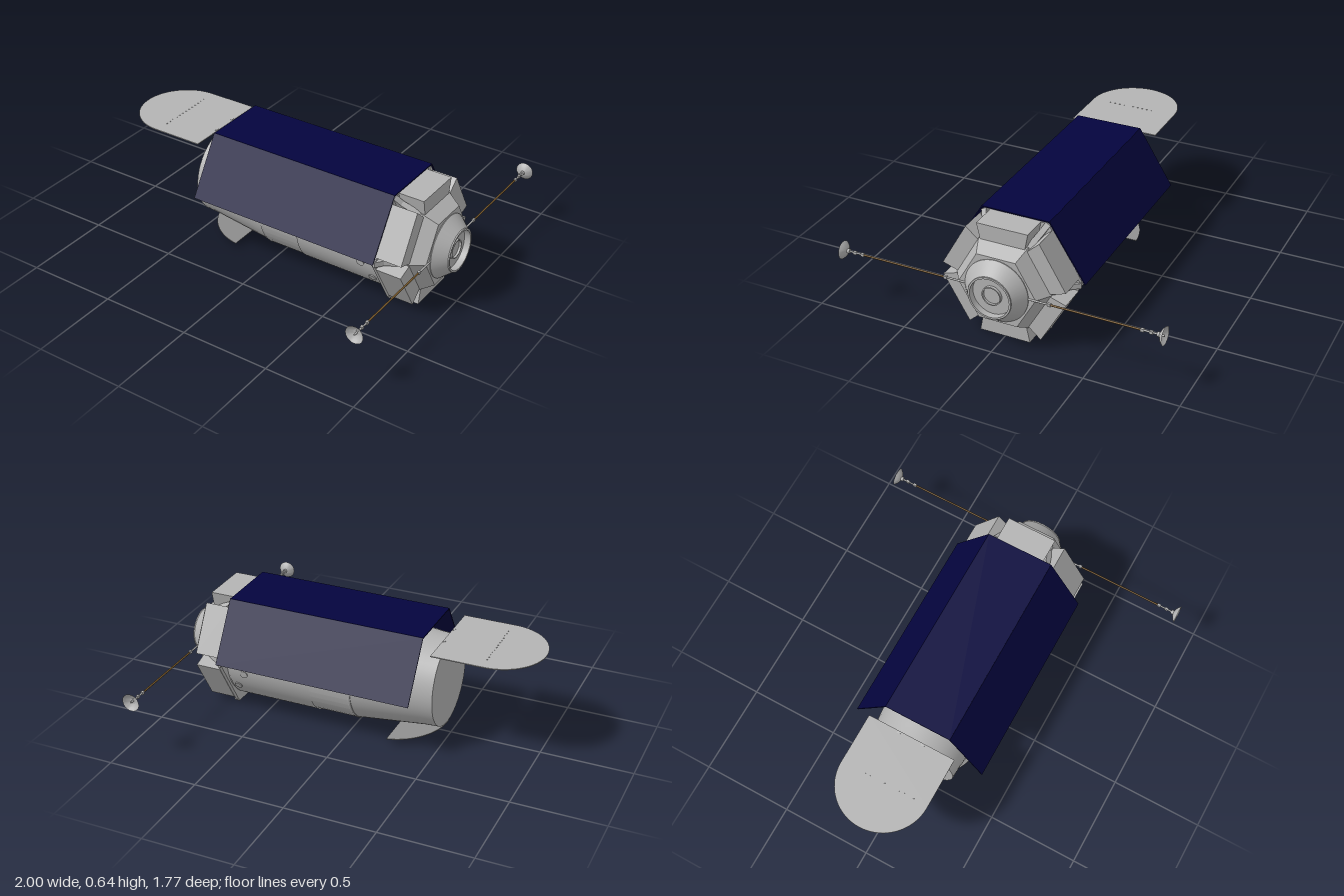
import * as THREE from 'three';
import { toCreasedNormals } from 'three/addons/utils/BufferGeometryUtils.js';

const material = (name, color, side = THREE.FrontSide) => {
  const m = new THREE.MeshStandardMaterial({ color, side });
  m.name = name;
  return m;
};
const grey = material('hullGrey', 0xb4b4b4, THREE.DoubleSide);
const darkGrey = material('coverGrey', 0x8e8e8e);
const navy = material('solarNavy', 0x04043e);
const brown = material('boomBrown', 0x7a5a2c);

const AXIS_Y = 0.315;

export function createModel() {
  const model = new THREE.Group();
  model.name = 'spaceTelescope';
  const body = new THREE.Group(); // origin lies on the long axis, which runs along x
  body.name = 'body';
  body.position.y = AXIS_Y;
  model.add(body);

  const add = (name, geo, mat = grey, parent = body) => {
    const mesh = new THREE.Mesh(geo, mat);
    mesh.name = name;
    parent.add(mesh);
    return mesh;
  };
  const box = (name, size, pos, mat = grey, parent = body) => {
    const mesh = add(name, new THREE.BoxGeometry(...size), mat, parent);
    mesh.position.set(...pos);
    return mesh;
  };
  // profile given as [radius, position along axis]
  const lathe = (pts, segs = 48) => toCreasedNormals(
    new THREE.LatheGeometry(pts.map(p => new THREE.Vector2(...p)), segs), 0.4);
  const alongX = geo => geo.rotateZ(-Math.PI / 2);
  // hexagonal solid between two x positions, vertices on the z axis
  const hex = (x0, r0, x1, r1) => toCreasedNormals(alongX(
    new THREE.CylinderGeometry(r1, r0, x1 - x0, 6)).translate((x0 + x1) / 2, 0, 0), 0.3);
  const shapeOf = pts => new THREE.Shape(pts.map(p => new THREE.Vector2(...p)));

  // Tapered forward tube and straight main tube, hung slightly below the bay axis
  const tube = new THREE.Group();
  tube.name = 'tube';
  tube.position.y = -0.004;
  body.add(tube);
  add('forwardTube', alongX(lathe([[0, -0.48], [0.248, -0.48], [0.252, -0.4], [0.291, -0.03]])), grey, tube);
  add('mainTube', alongX(lathe([[0.28, -0.035], [0.294, -0.035], [0.296, -0.025], [0.294, -0.02],
    [0.294, 0.69], [0, 0.69]])), grey, tube);
  box('keelPin', [0.012, 0.012, 0.012], [0.32, -0.295, 0], grey, tube);

  // Curved access panels and round ports on both flanks
  for (const side of [1, -1]) {
    const len = 1.17;
    add('accessPanel', alongX(new THREE.CylinderGeometry(0.298, 0.298, 0.48, 24, 1, true,
      side > 0 ? 0 : Math.PI - len, len)).translate(0.44, 0, 0), grey, tube);
    for (const [x, drop] of [[0.59, 0.19], [0.645, 0.53]]) {
      add('port', toCreasedNormals(new THREE.CylinderGeometry(0.022, 0.022, 0.016, 20), 0.5)
        .translate(x, 0.295, 0).rotateX(side * (Math.PI / 2 + drop)), grey, tube);
    }
  }

  // Hexagonal equipment section
  add('bulkhead', hex(0.69, 0.357, 0.71, 0.357));
  add('hexCore', hex(0.71, 0.262, 0.85, 0.262));
  add('hexTaper', hex(0.85, 0.262, 0.922, 0.212));
  const boxShape = shapeOf([[-0.12, 0.215], [0.12, 0.215], [0.14, 0.312], [-0.14, 0.312]]);
  const gussetShape = shapeOf([[0.7, 0.2], [0.83, 0.2], [0.83, 0.26], [0.74, 0.315], [0.71, 0.355], [0.7, 0.355]]);
  for (let i = 0; i < 6; i++) {
    const a = i * Math.PI / 3;
    add('equipmentBox', new THREE.ExtrudeGeometry(boxShape, { depth: 0.142, bevelEnabled: false })
      .rotateY(Math.PI / 2).translate(0.71, 0, 0).rotateX(a));
    add('gusset', new THREE.ExtrudeGeometry(gussetShape, { depth: 0.03, bevelEnabled: false })
      .translate(0, 0, -0.015).rotateX(a + Math.PI / 6));
  }

  // Rear cone with the recessed docking ring
  add('rearCone', alongX(lathe([[0.174, 0.915], [0.174, 0.926], [0.118, 0.993], [0.118, 1],
    [0.108, 1], [0.108, 0.965], [0.052, 0.965], [0.052, 0.98], [0.046, 0.98], [0.046, 0.968],
    [0, 0.968]])));

  // Folded solar array: one top sheet and two sloping wings
  const span = 1.112, midX = 0.156, wingDrop = 0.308, wingOut = 0.192;
  box('solarTop', [span, 0.006, 0.372], [midX, 0.319, 0], navy);
  for (const side of [1, -1]) {
    const wing = box('solarWing', [span, 0.006, Math.hypot(wingDrop, wingOut)],
      [midX, 0.32 - wingDrop / 2, side * (0.185 + wingOut / 2)], navy);
    wing.rotation.x = side * Math.atan2(wingDrop, wingOut);
    for (const x of [-0.25, 0.2, 0.6]) box('solarPost', [0.015, 0.06, 0.015], [x, 0.286, side * 0.06]);
  }

  // Rounded plate: semicircle to -x, straight edges running to +x
  const lidGeo = (straight, t) => {
    const s = new THREE.Shape();
    s.moveTo(straight, 0.25);
    s.lineTo(0, 0.25);
    s.absarc(0, 0, 0.25, Math.PI / 2, Math.PI * 1.5, false);
    s.lineTo(straight, -0.25);
    return toCreasedNormals(new THREE.ExtrudeGeometry(s,
      { depth: t, bevelEnabled: false, curveSegments: 32 }).rotateX(-Math.PI / 2), 0.5);
  };
  // Open aperture door with its hinge and rivet row
  add('apertureDoor', lidGeo(0.285, 0.005)).position.set(-0.75, 0.259, 0);
  for (let i = 0; i < 13; i++) box('doorRivet', [0.006, 0.002, 0.006], [-0.74, 0.265, (i - 6) * 0.028]);
  for (const z of [-0.07, 0.07]) {
    const arm = box('doorHinge', [0.012, 0.075, 0.02], [-0.468, 0.229, z]);
    arm.rotation.z = 0.15;
  }
  // Half-round cover lying under the forward tube
  const cover = add('lowerCover', lidGeo(0, 0.004), darkGrey);
  cover.position.set(-0.23, -0.288, 0);
  cover.rotation.z = -0.11;

  // Dish antennas on long side booms
  for (const side of [1, -1]) {
    const antenna = new THREE.Group();
    antenna.name = 'antenna';
    antenna.position.set(0.923, 0, 0);
    antenna.rotation.x = side * Math.PI / 2; // local y points outward
    body.add(antenna);
    const rod = (name, r, y0, y1, mat = grey) => add(name,
      new THREE.CylinderGeometry(r, r, y1 - y0, 10).translate(0, (y0 + y1) / 2, 0), mat, antenna);
    rod('boomRoot', 0.005, 0.14, 0.29);
    rod('boom', 0.005, 0.29, 0.765, brown);
    rod('boomTip', 0.005, 0.765, 0.862);
    for (const y of [0.285, 0.77, 0.815]) {
      box('boomJoint', [0.013, 0.018, 0.016], [0, y, 0], grey, antenna);
    }
    rod('dishHub', 0.012, 0.845, 0.86);
    add('dish', lathe([[0, 0.858], [0.018, 0.86], [0.036, 0.87], [0.049, 0.884]], 28), grey, antenna);
    rod('dishFeed', 0.005, 0.86, 0.882);
  }
  return model;
}
